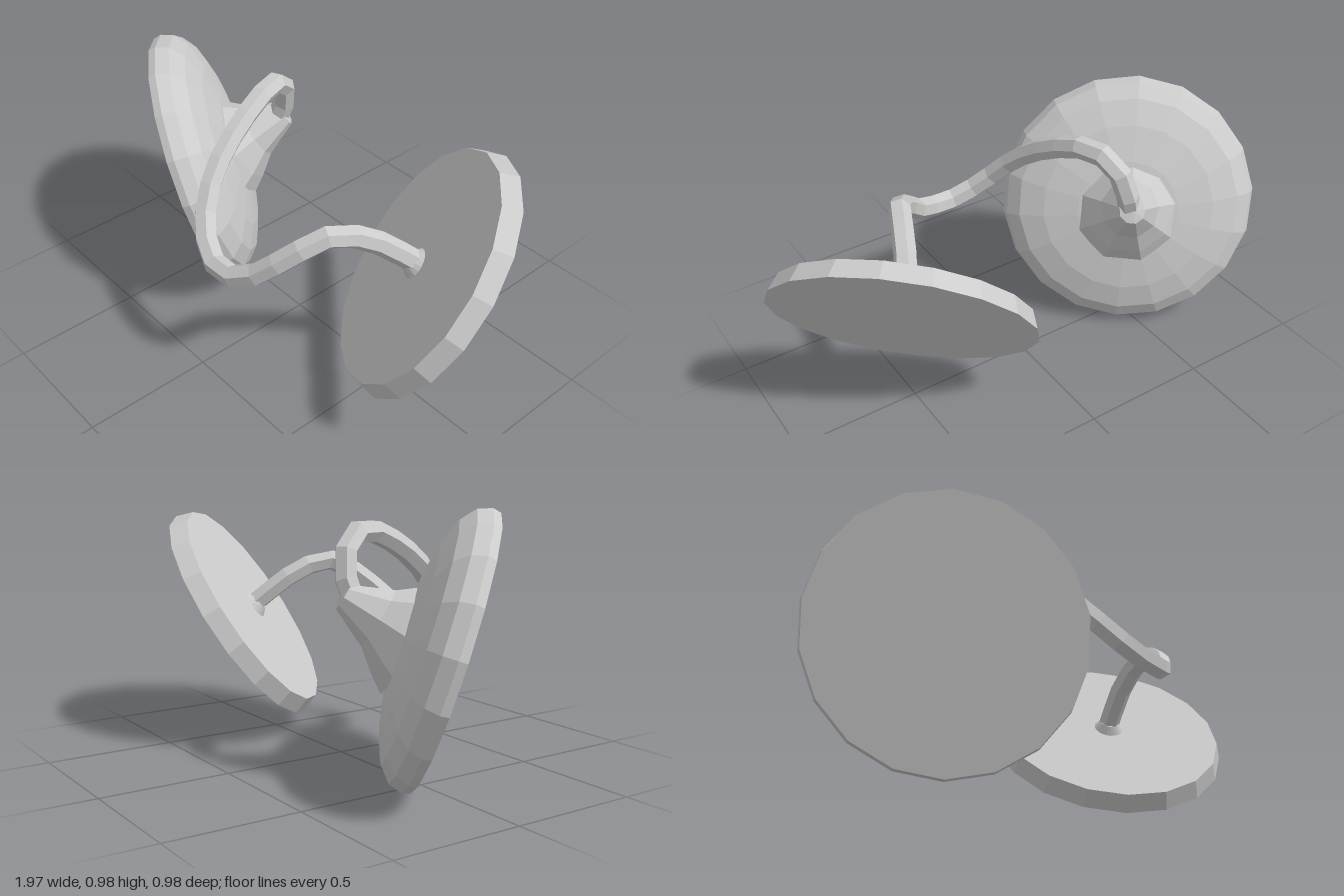
import * as THREE from 'three';

const material = new THREE.MeshStandardMaterial({ color: 0xcccccc, flatShading: true });
const UP = new THREE.Vector3(0, 1, 0);

// Faceted solid of revolution, standing on `base` and pointing along `axis`
function turned(name, profile, sides, base, axis) {
  const points = profile.map(([r, h]) => new THREE.Vector2(r, h));
  const mesh = new THREE.Mesh(new THREE.LatheGeometry(points, sides), material);
  mesh.name = name;
  mesh.position.set(...base);
  mesh.quaternion.setFromUnitVectors(UP, new THREE.Vector3(...axis).normalize());
  return mesh;
}

export function createModel() {
  const model = new THREE.Group();
  model.name = 'linkedDiscs';

  // Domed disc: flat face to the front, rounded back
  model.add(turned('domedDisc', [
    [0, 0], [0.505, 0], [0.512, 0.03], [0.495, 0.08], [0.44, 0.125],
    [0.34, 0.16], [0.2, 0.185], [0, 0.2],
  ], 18, [-0.575, 0.485, 0.075], [0.58, 0.3, -0.76]));

  // Spire on the dome, leaning upwards to meet the cord
  model.add(turned('spire', [
    [0.22, 0], [0.18, 0.06], [0.115, 0.14], [0.05, 0.28], [0, 0.29],
  ], 9, [-0.49, 0.53, -0.035], [0.48, 0.5, -0.66]));

  // Flat disc: slightly wider at the back, with a small collar for the cord
  model.add(turned('flatDisc', [
    [0, 0], [0.49, 0], [0.465, 0.07], [0.06, 0.072], [0.035, 0.1], [0, 0.1],
  ], 18, [0.58, 0.49, -0.115], [-0.55, 0.55, 0.62]));

  // Cord: hooks over from the spire, swings forward and down, then up into the flat disc
  const path = new THREE.CatmullRomCurve3([
    [-0.37, 0.64, -0.19], [-0.33, 0.76, -0.21], [-0.3, 0.86, -0.17], [-0.26, 0.895, -0.07],
    [-0.2, 0.8, 0.16], [-0.15, 0.69, 0.3], [-0.08, 0.58, 0.39], [0.02, 0.51, 0.44],
    [0.12, 0.5, 0.45], [0.22, 0.54, 0.41], [0.33, 0.65, 0.32], [0.4, 0.715, 0.21],
    [0.46, 0.66, 0.07], [0.55, 0.52, -0.09],
  ].map((p) => new THREE.Vector3(...p)));
  const cord = new THREE.Mesh(new THREE.TubeGeometry(path, 20, 0.043, 6), material);
  cord.name = 'cord';
  model.add(cord);

  return model;
}
